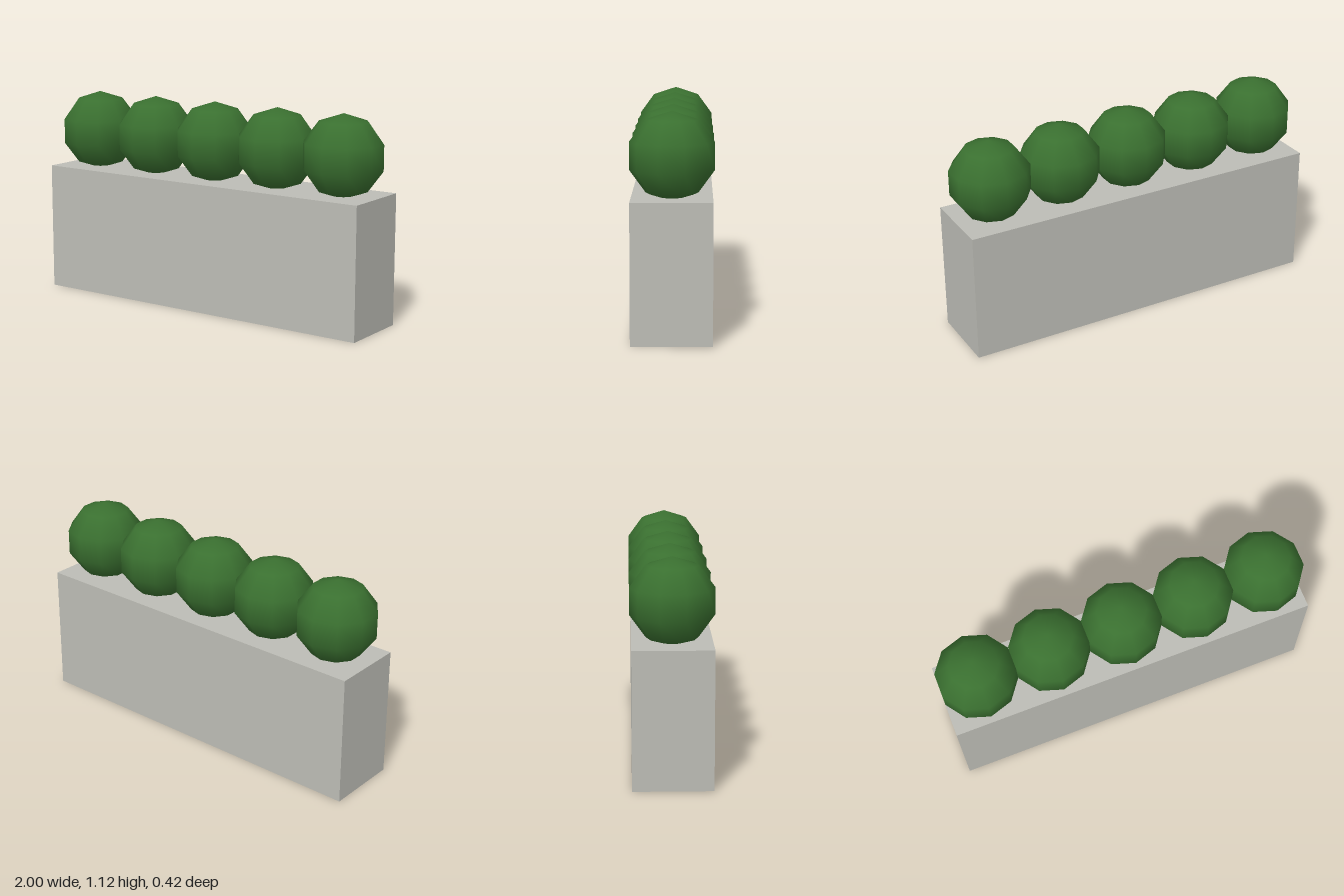
import * as THREE from 'three';

export function createModel() {
  const model = new THREE.Group();
  model.name = 'hedgePlanter';

  const stone = new THREE.MeshStandardMaterial({ color: 0xbdbdb6 });
  stone.name = 'pale stone';
  const leaf = new THREE.MeshStandardMaterial({ color: 0x3a7030 });
  leaf.name = 'leaf green';

  // Solid planter block
  const planter = new THREE.Mesh(new THREE.BoxGeometry(2, 0.7, 0.4), stone);
  planter.name = 'planter';
  planter.position.y = 0.35;
  model.add(planter);

  // Row of five round bushes, slightly sunk into the block,
  // turned so a flat side meets the neighbouring bush
  const bushGeometry = new THREE.SphereGeometry(0.22, 10, 5).rotateY(Math.PI / 2);
  for (let i = 0; i < 5; i++) {
    const bush = new THREE.Mesh(bushGeometry, leaf);
    bush.name = `bush${i + 1}`;
    bush.position.set((i - 2) * 0.4, 0.9, 0);
    model.add(bush);
  }

  return model;
}
